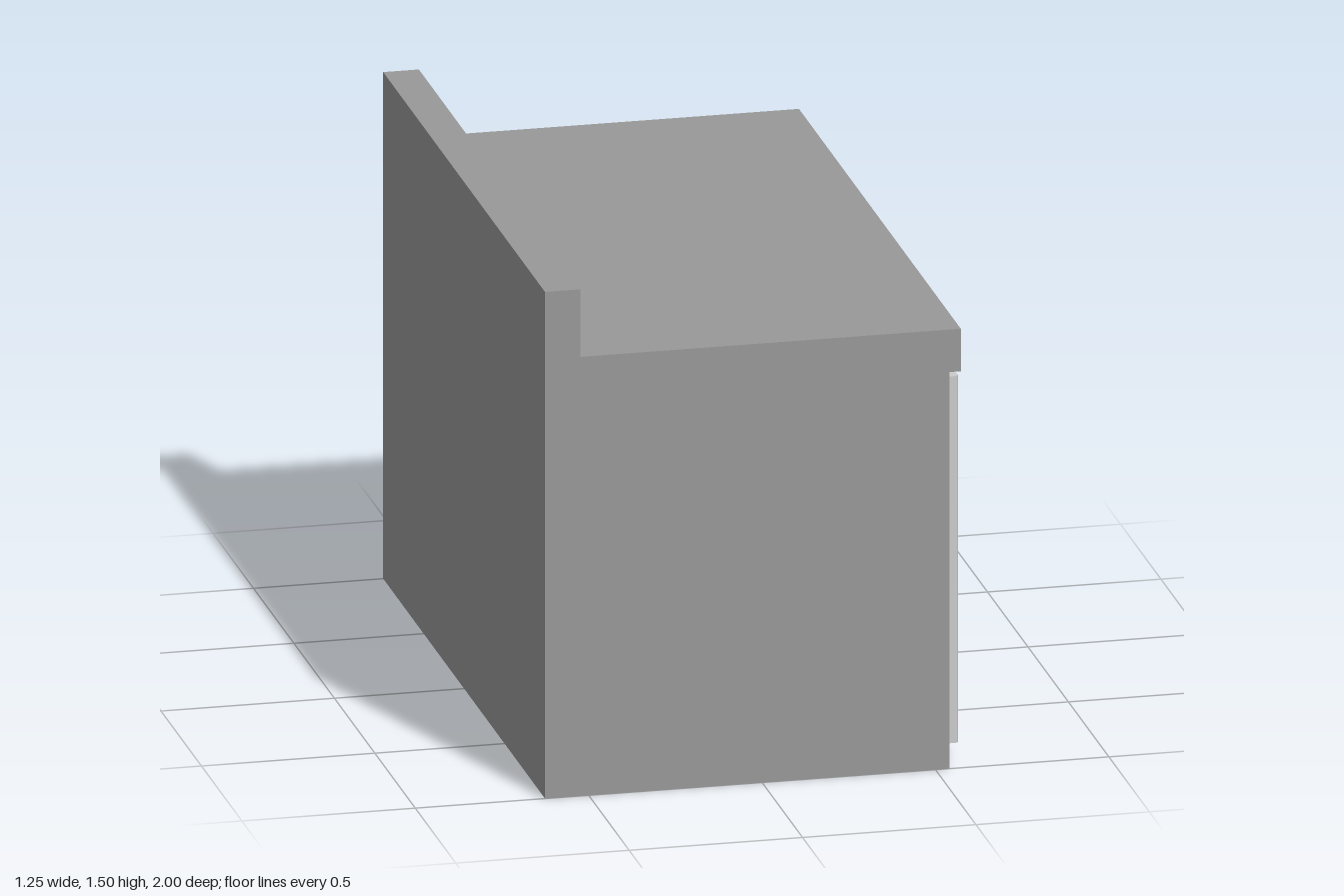
import * as THREE from 'three';
import { toCreasedNormals } from 'three/addons/utils/BufferGeometryUtils.js';

const bodyMat = new THREE.MeshStandardMaterial({ color: 0x999999 });
const doorMat = new THREE.MeshStandardMaterial({ color: 0xcccccc });

function part(name, geometry, material) {
  const mesh = new THREE.Mesh(geometry, material);
  mesh.name = name;
  return mesh;
}

// Side profile with backsplash and overhanging counter, swept along the width
function cabinetGeometry() {
  const outline = [[-0.626, 0], [0.541, 0], [0.541, 1.174], [0.573, 1.174],
    [0.573, 1.3], [-0.523, 1.3], [-0.523, 1.5], [-0.626, 1.5]];
  const shape = new THREE.Shape(outline.map(([x, y]) => new THREE.Vector2(x, y)));
  return new THREE.ExtrudeGeometry(shape, { depth: 2, bevelEnabled: false }).translate(0, 0, -1);
}

// Door panel: plan outline with rounded front edges, extruded upward
function doorGeometry(width) {
  const back = 0.541, front = 0.581, h = width / 2, r = 0.012;
  const shape = new THREE.Shape();
  shape.moveTo(back, -h);
  shape.lineTo(front - r, -h);
  shape.absarc(front - r, -h + r, r, -Math.PI / 2, 0, false);
  shape.absarc(front - r, h - r, r, 0, Math.PI / 2, false);
  shape.lineTo(back, h);
  shape.closePath();
  const g = new THREE.ExtrudeGeometry(shape, { depth: 1.086, bevelEnabled: false, curveSegments: 6 });
  return toCreasedNormals(g.rotateX(-Math.PI / 2), 0.7);
}

// Bow handle: arched tube, flattened in plan and taller toward its ends
function handleGeometry() {
  const path = new THREE.CatmullRomCurve3([
    [0.578, -0.118], [0.592, -0.115], [0.608, -0.085], [0.617, 0],
    [0.608, 0.085], [0.592, 0.115], [0.578, 0.118],
  ].map(([x, z]) => new THREE.Vector3(x, 0, z)));
  const g = new THREE.TubeGeometry(path, 48, 0.007, 14, false);
  const p = g.attributes.position;
  for (let i = 0; i < p.count; i++) {
    const t = Math.min(1, Math.abs(p.getZ(i)) / 0.1);
    p.setY(i, p.getY(i) * (1.55 + 0.8 * t * t));
  }
  g.computeVertexNormals();
  // Share normals across the tube's seam
  const n = g.attributes.normal;
  for (let i = 0; i <= 48; i++) {
    const a = i * 15, b = a + 14;
    const v = new THREE.Vector3().fromBufferAttribute(n, a)
      .add(new THREE.Vector3().fromBufferAttribute(n, b)).normalize();
    n.setXYZ(a, v.x, v.y, v.z);
    n.setXYZ(b, v.x, v.y, v.z);
  }
  return g;
}

export function createModel() {
  const model = new THREE.Group();
  model.name = 'counterCabinet';
  model.add(part('cabinetBody', cabinetGeometry(), bodyMat));

  // A door and a handle on each half
  const doorGeo = doorGeometry(0.932);
  const handleGeo = handleGeometry();
  for (const [side, s] of [['left', -1], ['right', 1]]) {
    const door = part(side + 'Door', doorGeo, doorMat);
    door.position.set(0, 0.054, s * 0.473);
    const handle = part(side + 'Handle', handleGeo, doorMat);
    handle.position.set(0, 1.035, s * 0.201);
    model.add(door, handle);
  }
  return model;
}
